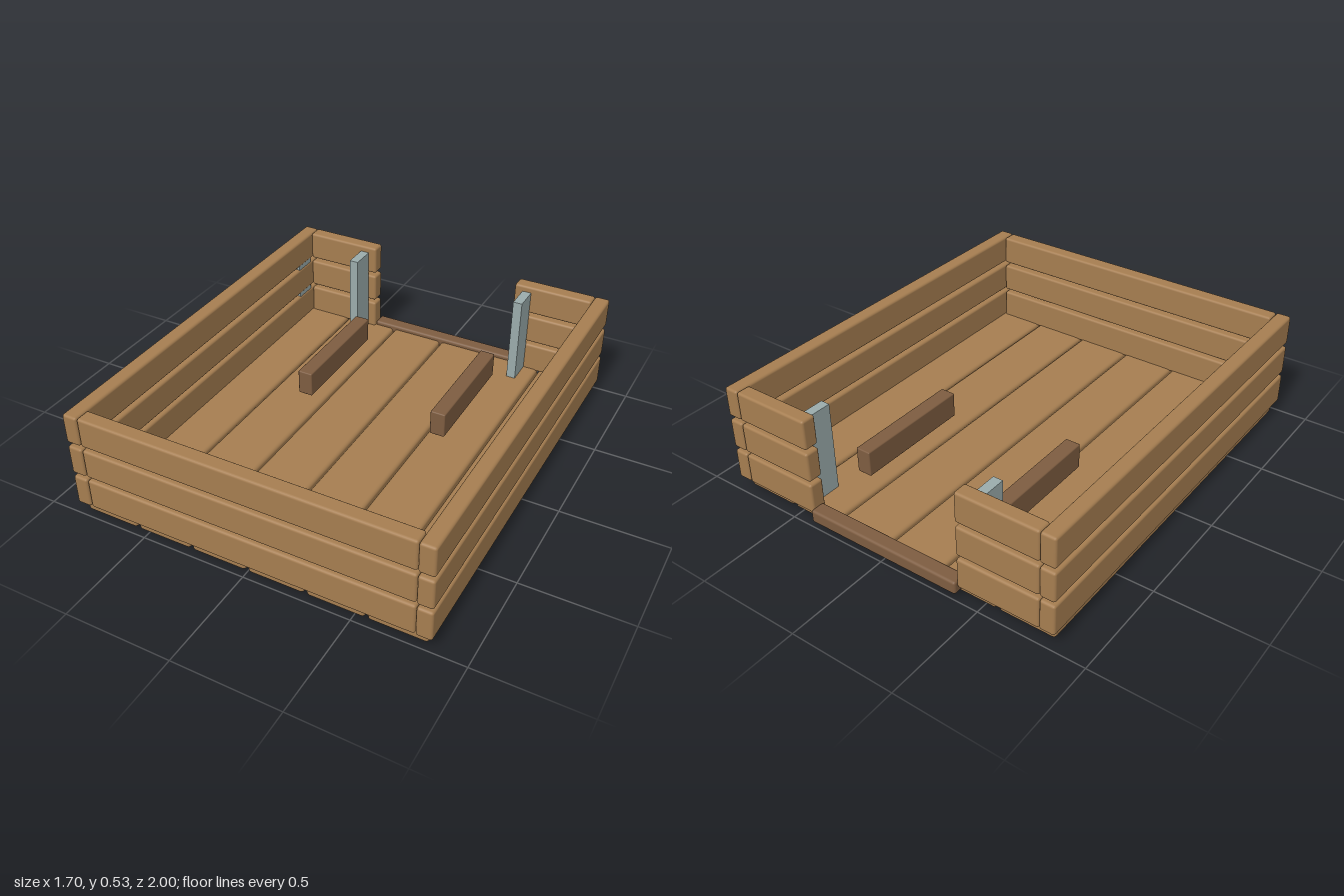
import * as THREE from 'three';
import { RoundedBoxGeometry } from 'three/addons/geometries/RoundedBoxGeometry.js';

const wood = new THREE.MeshStandardMaterial({ color: 0xa57d50 });
const darkWood = new THREE.MeshStandardMaterial({ color: 0x7d5c40 });
const metal = new THREE.MeshStandardMaterial({ color: 0x9aabab });

// Box given by its extents on each axis, with softened edges when radius > 0
function block(parent, name, material, [x0, x1], [y0, y1], [z0, z1], radius = 0) {
  const size = [x1 - x0, y1 - y0, z1 - z0];
  const geometry = radius
    ? new RoundedBoxGeometry(...size, 2, radius)
    : new THREE.BoxGeometry(...size);
  const mesh = new THREE.Mesh(geometry, material);
  mesh.name = name;
  mesh.position.set((x0 + x1) / 2, (y0 + y1) / 2, (z0 + z1) / 2);
  parent.add(mesh);
}

export function createModel() {
  const model = new THREE.Group();
  model.name = 'woodenCrate';

  // Floor planks with narrow gaps
  const floor = new THREE.Group();
  floor.name = 'floor';
  for (let i = 0; i < 6; i++) {
    const x = -0.829 + i * 0.277;
    block(floor, 'floorPlank', wood, [x, x + 0.266], [0, 0.067], [-0.947, 0.967], 0.016);
  }
  model.add(floor);

  // Three courses of wall boards, with an opening in the back
  const walls = new THREE.Group();
  walls.name = 'walls';
  for (const y of [[0.058, 0.206], [0.223, 0.367], [0.386, 0.53]]) {
    block(walls, 'frontBoard', wood, [-0.776, 0.776], y, [0.924, 0.998], 0.012);
    for (const s of [-1, 1]) {
      const span = (a, b) => (s > 0 ? [a, b] : [-b, -a]);
      block(walls, 'sideBoard', wood, span(0.778, 0.85), y, [-0.985, 1], 0.012);
      block(walls, 'backBoard', wood, span(0.388, 0.778), y, [-0.985, -0.913], 0.012);
    }
  }
  model.add(walls);

  // Metal posts and floating dark blocks, mirrored left and right
  for (const s of [-1, 1]) {
    const span = (a, b) => (s > 0 ? [a, b] : [-b, -a]);
    block(model, 'innerPost', metal, span(0.43, 0.475), [0.03, 0.5], [-0.915, -0.79]);
    block(model, 'sidePost', metal, span(0.782, 0.828), [0.03, 0.5], [-0.902, -0.787]);
    block(model, 'innerBlock', darkWood, span(0.316, 0.39), [0.115, 0.24], [-0.7, -0.108], 0.006);
  }

  // Sill across the back opening
  block(model, 'backSill', darkWood, [-0.39, 0.39], [0.025, 0.088], [-1, -0.928], 0.012);

  return model;
}
